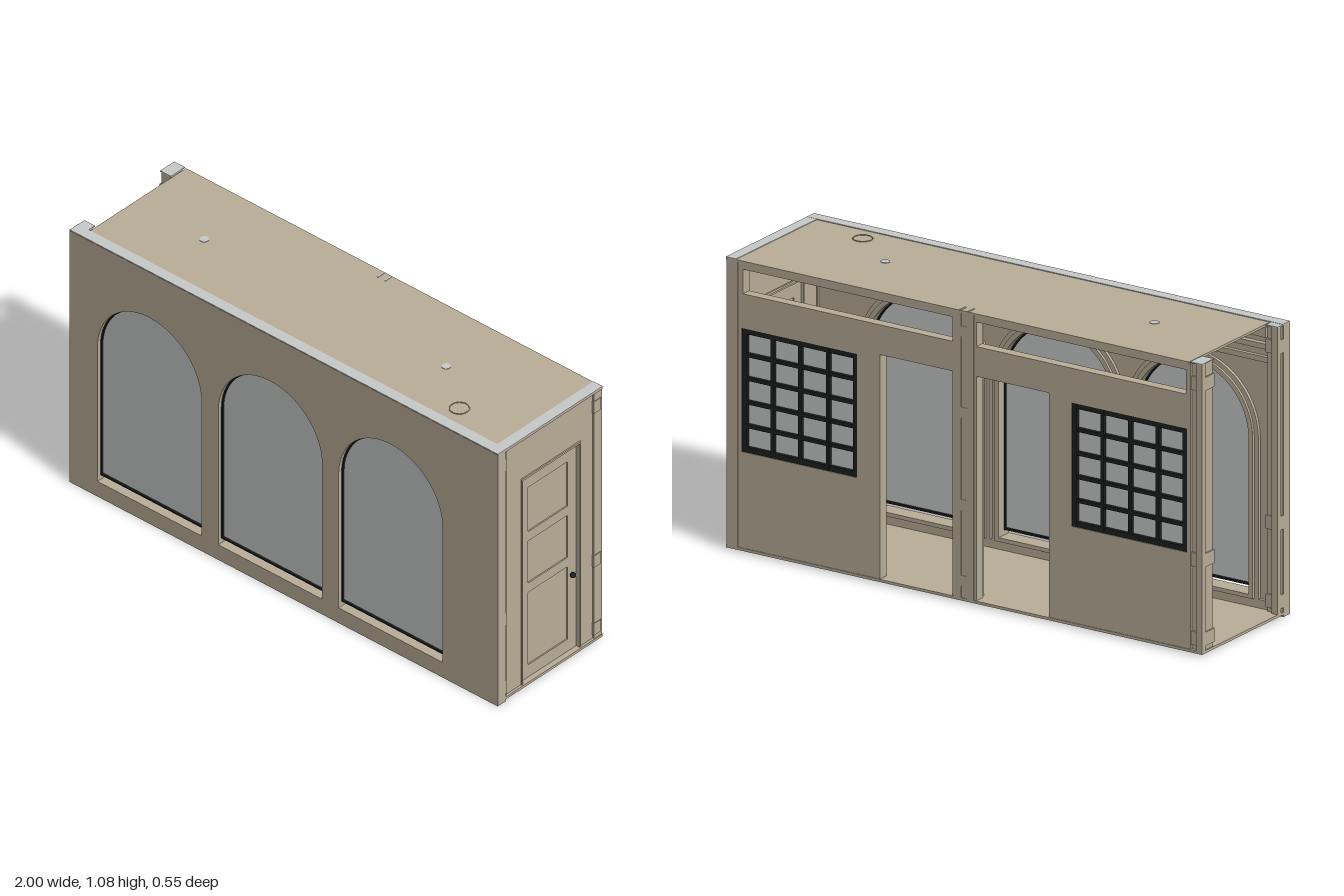
import * as THREE from 'three';

const mat = (name, color, side = THREE.FrontSide) => {
  const m = new THREE.MeshStandardMaterial({ color, side });
  m.name = name;
  return m;
};

export function createModel() {
  const root = new THREE.Group();
  root.name = 'arcadeRoom';
  const plaster = mat('plaster', 0xb9ae98);
  const glass = mat('glass', 0xc8cbcb, THREE.DoubleSide);
  const black = mat('blackMetal', 0x1b201f);

  const add = (name, geo, m, parent = root) => {
    const mesh = new THREE.Mesh(geo, m);
    mesh.name = name;
    parent.add(mesh);
    return mesh;
  };
  // Box given by its minimum and maximum along each axis
  const box = (name, x0, x1, y0, y1, z0, z1, m = plaster, parent = root) => {
    const mesh = add(name, new THREE.BoxGeometry(x1 - x0, y1 - y0, z1 - z0), m, parent);
    mesh.position.set((x0 + x1) / 2, (y0 + y1) / 2, (z0 + z1) / 2);
    return mesh;
  };
  const trace = (p, pts) => {
    pts.forEach(([x, y], i) => (i ? p.lineTo(x, y) : p.moveTo(x, y)));
    p.closePath();
    return p;
  };
  const rect = (p, x0, x1, y0, y1) => trace(p, [[x0, y0], [x1, y0], [x1, y1], [x0, y1]]);
  const arch = (p, cx, r, bottom, spring = 0.64) => {
    p.moveTo(cx - r, bottom);
    p.lineTo(cx + r, bottom);
    p.lineTo(cx + r, spring);
    p.absarc(cx, spring, r, 0, Math.PI, false);
    p.closePath();
    return p;
  };
  const slab = (name, shape, z, depth, m = plaster, parent = root) => {
    const geo = new THREE.ExtrudeGeometry(shape, { depth, bevelEnabled: false, curveSegments: 32 });
    const mesh = add(name, geo, m, parent);
    mesh.position.z = z;
    return mesh;
  };

  // Floor and ceiling
  box('floor', -1, 1, 0.008, 0.018, -0.273, 0.23);
  box('ceiling', -0.945, 1, 1.068, 1.077, -0.273, 0.23);

  // Front wall with three arched openings
  const R = 0.2425;
  const centres = [-0.626, -0.062, 0.5];
  const front = rect(new THREE.Shape(), -1, 1, 0, 1.077);
  centres.forEach(c => front.holes.push(arch(new THREE.Path(), c, R, 0.065)));
  slab('frontWall', front, 0.23, 0.043);

  // Arched glazing, its metal frame, and the moulding inside the room
  centres.forEach(c => {
    const bay = new THREE.Group();
    bay.name = 'archedBay';
    root.add(bay);
    add('archGlass', new THREE.ShapeGeometry(arch(new THREE.Shape(), c, R, 0.09), 32), glass, bay)
      .position.z = 0.25;
    const frame = arch(new THREE.Shape(), c, R, 0.085);
    frame.holes.push(arch(new THREE.Path(), c, R - 0.005, 0.092));
    slab('archFrame', frame, 0.24, 0.018, black, bay);
    [[0.035, 0.012], [0.018, 0.022]].forEach(([w, d]) => {
      const trim = arch(new THREE.Shape(), c, R + w, 0.05);
      trim.holes.push(arch(new THREE.Path(), c, R, 0.065));
      slab('archMoulding', trim, 0.23 - d, d, plaster, bay);
    });
  });

  // Cornice and skirting on the inside of the front wall
  [[0.93, 0.95, 0.015], [0.98, 1.0, 0.02], [1.03, 1.068, 0.035], [0.018, 0.05, 0.012]]
    .forEach(([y0, y1, d]) => box('cornice', -0.95, 0.955, y0, y1, 0.23 - d, 0.23));

  // Back wall: one outline with doorways cut in, windows and high openings as holes
  const back = trace(new THREE.Shape(), [
    [-0.95, 0.018], [-0.355, 0.018], [-0.355, 0.845], [-0.05, 0.845], [-0.05, 0.018],
    [0.05, 0.018], [0.05, 0.845], [0.355, 0.845], [0.355, 0.018],
    [0.96, 0.018], [0.96, 1.068], [-0.95, 1.068]]);
  const win = { x0: 0.45, x1: 0.935, y0: 0.372, y1: 0.828 };
  for (const s of [-1, 1]) {
    const span = (a, b) => (s > 0 ? [a, b] : [-b, -a]);
    back.holes.push(rect(new THREE.Path(), ...span(win.x0, win.x1), win.y0, win.y1));
    back.holes.push(rect(new THREE.Path(), ...span(0.05, 0.93), 0.955, 1.045));

    // Window panes and glazing bars, four across and five up
    const w = new THREE.Group();
    w.name = 'gridWindow';
    root.add(w);
    const [x0, x1] = span(win.x0, win.x1);
    box('windowGlass', x0, x1, win.y0, win.y1, -0.254, -0.25, glass, w);
    for (let i = 0; i <= 4; i++) {
      const h = i % 4 ? 0.007 : 0.01;
      const x = THREE.MathUtils.lerp(x0 + 0.01, x1 - 0.01, i / 4);
      box('verticalBar', x - h, x + h, win.y0, win.y1, -0.268, -0.236, black, w);
    }
    for (let j = 0; j <= 5; j++) {
      const h = j % 5 ? 0.007 : 0.01;
      const y = THREE.MathUtils.lerp(win.y0 + 0.01, win.y1 - 0.01, j / 5);
      box('horizontalBar', x0, x1, y - h, y + h, -0.267, -0.237, black, w);
    }
  }
  slab('backWall', back, -0.27, 0.04);

  // Centre post with a groove and straps
  for (const s of [-1, 1]) box('centrePost', s * 0.027 - 0.014, s * 0.027 + 0.014, 0.018, 1.068, -0.273, -0.21);
  box('centrePostCore', -0.014, 0.014, 0.018, 1.068, -0.262, -0.222);
  [0.08, 0.36, 0.7, 1.0].forEach(y => box('postStrap', -0.03, 0.03, y - 0.02, y + 0.02, -0.272, -0.205));

  // Posts at the open end
  for (const [z0, z1] of [[-0.273, -0.2], [0.195, 0.23]]) {
    box('endPost', -0.995, -0.95, 0.018, 1.075, z0 + 0.012, z1);
    box('endPostRib', -1, -0.975, 0.018, 1.075, z0, z0 + 0.02);
    [0.06, 0.35, 1.0].forEach(y => box('endPostStrap', -1, -0.945, y - 0.025, y + 0.025, z0 + 0.005, z1 + 0.005));
    box('endPostCap', -1, -0.95, 1.075, 1.079, z0, z1, glass);
  }

  // Door-end wall: profile drawn along z, then turned to face +x
  const end = new THREE.Group();
  end.name = 'doorEnd';
  end.rotation.y = Math.PI / 2;
  root.add(end);
  const wall = trace(new THREE.Shape(), [
    [-0.23, 0.018], [-0.135, 0.018], [-0.135, 0.893], [0.16, 0.893], [0.16, 0.018],
    [0.235, 0.018], [0.235, 1.068], [-0.23, 1.068]]);
  slab('endWall', wall, 0.955, 0.035, plaster, end);
  const casing = trace(new THREE.Shape(), [
    [-0.142, 0.018], [-0.135, 0.018], [-0.135, 0.89], [0.16, 0.89], [0.16, 0.018],
    [0.167, 0.018], [0.167, 0.898], [-0.142, 0.898]]);
  slab('doorCasing', casing, 0.95, 0.045, plaster, end);
  const door = rect(new THREE.Shape(), -0.133, 0.158, 0.018, 0.88);
  [[0.07, 0.38], [0.42, 0.6], [0.64, 0.83]].forEach(([a, b]) =>
    door.holes.push(rect(new THREE.Path(), -0.09, 0.115, a, b)));
  slab('door', door, 0.96, 0.018, plaster, end);
  box('doorPanel', -0.1, 0.125, 0.05, 0.85, 0.963, 0.973, plaster, end);
  add('doorKnob', new THREE.SphereGeometry(0.011, 20, 14), black, end).position.set(0.132, 0.34, 0.988);

  // Corner posts and straps beside the door
  box('backCornerPost', 0.95, 0.997, 0.018, 1.068, -0.273, -0.232);
  box('frontCornerPost', 0.95, 0.995, 0.018, 1.068, 0.222, 0.232);
  for (const z of [-0.25, 0.243]) {
    [0.06, 0.35, 1.01].forEach(y => box('cornerStrap', 0.96, 1, y - 0.025, y + 0.025, z - 0.015, z + 0.022));
  }

  // Pale capping on the wall tops
  box('frontCapping', -1, 1, 1.077, 1.08, 0.228, 0.272, glass);
  box('endCapping', 0.957, 1, 1.077, 1.0795, -0.273, 0.228, glass);
  for (const x of [-0.017, 0.017]) box('postCap', x - 0.003, x + 0.003, 1.077, 1.079, -0.27, -0.235, glass);

  // Ceiling lamps and the round roof collar
  for (const x of [-0.615, 0.515]) {
    add('lamp', new THREE.CylinderGeometry(0.017, 0.017, 0.02, 24), glass).position.set(x, 1.069, 0);
    const dome = add('lampShade', new THREE.SphereGeometry(0.035, 24, 8, 0, Math.PI * 2, Math.PI / 2, Math.PI / 2), glass);
    dome.position.set(x, 1.068, 0);
    dome.scale.y = 0.5;
  }
  const collar = add('roofCollar', new THREE.TorusGeometry(0.035, 0.002, 8, 32), plaster);
  collar.rotation.x = Math.PI / 2;
  collar.position.set(0.715, 1.078, 0.155);

  return root;
}
